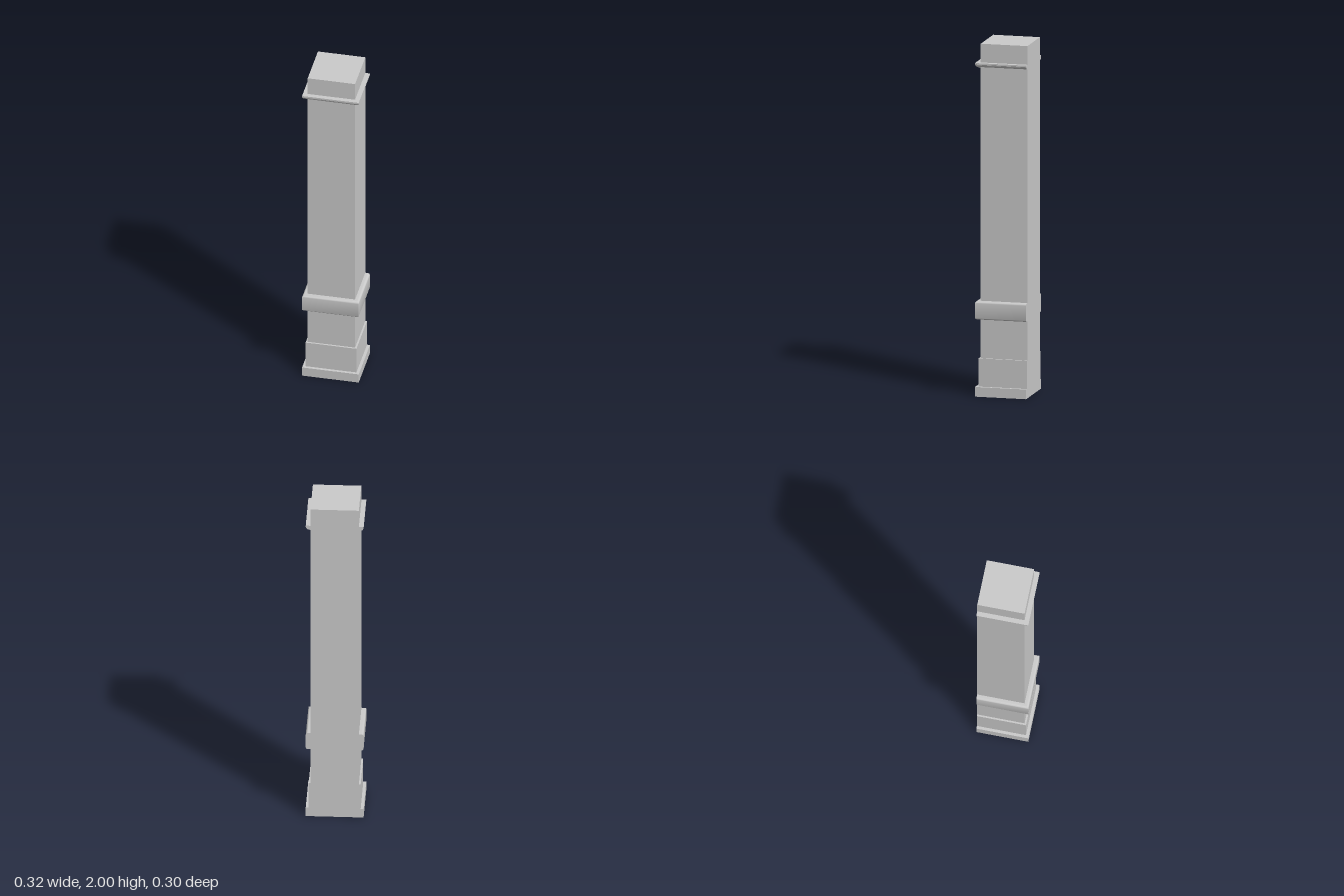
import * as THREE from 'three';
import { toCreasedNormals } from 'three/addons/utils/BufferGeometryUtils.js';

const HALF = 0.135, FRONT = 0.121, BACK = -0.148; // shaft faces
const STEP = 0.0265; // widest projection beyond the shaft

// Sweeps a profile of [projection, y] points around front and sides; the back stays flat.
function sweep(profile, capBottom, capTop) {
  const pos = [];
  const rings = profile.map(([d, y]) => [
    [-HALF - d, y, FRONT + d], [HALF + d, y, FRONT + d],
    [HALF + d, y, BACK], [-HALF - d, y, BACK],
  ]);
  const quad = (a, b, c, d) => pos.push(...a, ...b, ...c, ...a, ...c, ...d);
  for (let i = 0; i < rings.length - 1; i++) {
    const lo = rings[i], hi = rings[i + 1];
    for (let k = 0; k < 4; k++) {
      if (k === 2 && profile[i][1] === profile[i + 1][1]) continue; // no back on flat ledges
      const n = (k + 1) % 4;
      quad(lo[k], lo[n], hi[n], hi[k]);
    }
  }
  if (capBottom) quad(...[...rings[0]].reverse());
  if (capTop) quad(...rings[rings.length - 1]);
  const geo = new THREE.BufferGeometry();
  geo.setAttribute('position', new THREE.Float32BufferAttribute(pos, 3));
  return toCreasedNormals(geo, 0.7);
}

// Quarter-round corner of a profile, from angle a0 to a1
function arc(cx, cy, r, a0, a1, n = 5) {
  return Array.from({ length: n + 1 }, (_, i) => {
    const a = a0 + (a1 - a0) * i / n;
    return [cx + r * Math.cos(a), cy + r * Math.sin(a)];
  });
}

export function createModel() {
  const group = new THREE.Group();
  const material = new THREE.MeshStandardMaterial({ color: 0xcccccc });
  const add = (name, profile, capBottom = false, capTop = false) => {
    const mesh = new THREE.Mesh(sweep(profile, capBottom, capTop), material);
    mesh.name = name;
    group.add(mesh);
  };

  // Stepped foot
  add('plinth', [[STEP, 0], [STEP, 0.055], [0.01, 0.055]], true);
  add('baseBlock', [[0.01, 0.055], [0.01, 0.215], [0, 0.215]]);
  add('lowerShaft', [[0, 0.215], [0, 0.437]]);

  // Wide band with rounded edges
  const r = 0.012, q = Math.PI / 2;
  add('band', [
    [0, 0.437],
    ...arc(STEP - r, 0.437 + r, r, -q, 0),
    ...arc(STEP - r, 0.541 - r, r, 0, q),
    [0, 0.541],
  ]);
  add('upperShaft', [[0, 0.541], [0, 1.868]]);

  // Thin neck moulding, curved underneath with a small lip
  add('neckMoulding', [
    [0, 1.868], [0.011, 1.868],
    ...arc(0.011, 1.883, 0.013, -q, 0),
    [STEP, 1.885], [STEP, 1.894], [0, 1.894],
  ]);
  add('topBlock', [[0, 1.894], [0, 2]], false, true);
  return group;
}
